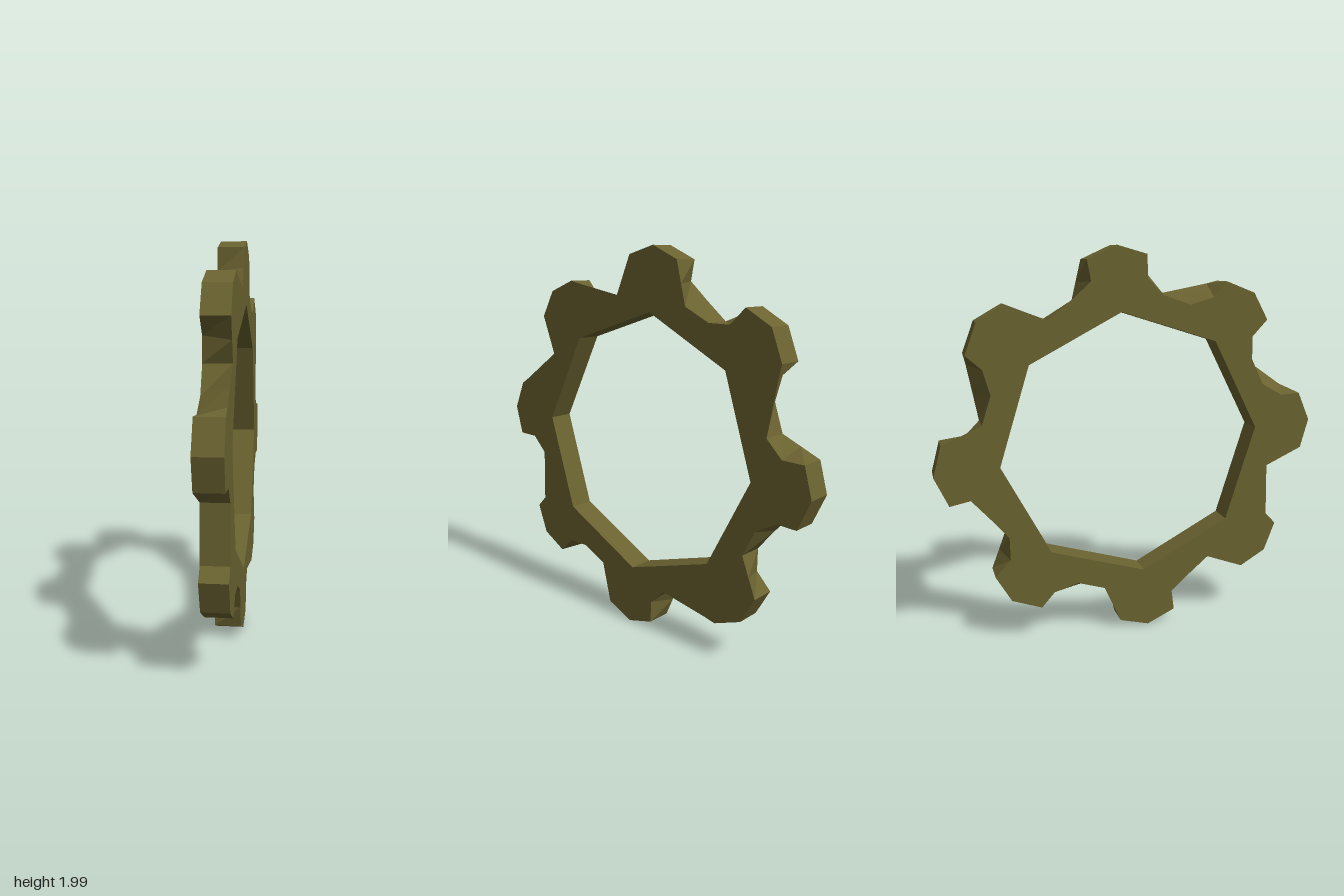
import * as THREE from 'three';

const HALF = 0.066; // half thickness along x
const SECTORS = 8;

// One sector in (z, y) about the hub: a tooth, then the gap after it.
const TOOTH = [[-0.232, 0.93], [-0.083, 0.997], [0.07, 0.955]];
const VALLEY = [0.158, 0.757];
// First flank of a gap: straight, or with a bite taken at the tooth root
const FLANK = { straight: [0.114, 0.856], bitten: [0.073, 0.84] };
// Second flank: two points between the valley and the next tooth
const RISE = {
  straight: [[0.30, 0.783], [0.435, 0.808]],
  bitten: [[0.30, 0.71], [0.425, 0.745]],
  floor: [[0.30, 0.761], [0.435, 0.765]],
  deep: [[0.305, 0.707], [0.397, 0.763]],
  ramp: [[0.30, 0.744], [0.435, 0.735]],
};
// Gap types on the +x face and the -x face: [flank, rise]
const GAPS = [
  { pos: ['straight', 'straight'], neg: ['bitten', 'bitten'] },
  { pos: ['straight', 'straight'], neg: ['bitten', 'bitten'] },
  { pos: ['bitten', 'floor'], neg: ['straight', 'floor'] },
  { pos: ['bitten', 'deep'], neg: ['straight', 'ramp'] },
  { pos: ['bitten', 'straight'], neg: ['straight', 'bitten'] },
  { pos: ['straight', 'bitten'], neg: ['bitten', 'ramp'] },
  { pos: ['bitten', 'straight'], neg: ['straight', 'bitten'] },
  { pos: ['bitten', 'deep'], neg: ['straight', 'ramp'] },
];

// Drawing plane: u = -z, v = y, counter-clockwise seen from +x
function place([z, y], k) {
  return new THREE.Vector2(-z, y).rotateAround(new THREE.Vector2(), (k * Math.PI * 2) / SECTORS);
}

function outline(side) {
  return GAPS.flatMap((gap, k) => {
    const [flank, rise] = gap[side];
    return [...TOOTH, FLANK[flank], VALLEY, ...RISE[rise]].map((p) => place(p, k));
  });
}

// Side wall joining two matching loops
function wall(front, back) {
  const pos = [];
  front.forEach((p, i) => {
    const j = (i + 1) % front.length;
    const a = [p.x, p.y, HALF];
    const b = [back[i].x, back[i].y, -HALF];
    const c = [back[j].x, back[j].y, -HALF];
    const d = [front[j].x, front[j].y, HALF];
    pos.push(...a, ...b, ...c, ...a, ...c, ...d);
  });
  const g = new THREE.BufferGeometry();
  g.setAttribute('position', new THREE.Float32BufferAttribute(pos, 3));
  g.computeVertexNormals();
  return g;
}

// Flat face with the octagonal hole
function cap(loop, hole, x, flip) {
  const shape = new THREE.Shape(loop);
  shape.holes.push(new THREE.Path(hole));
  const g = new THREE.ShapeGeometry(shape);
  if (flip) g.setIndex(Array.from(g.index.array).reverse());
  g.translate(0, 0, x);
  g.computeVertexNormals();
  return g;
}

export function createModel() {
  const olive = new THREE.MeshStandardMaterial({ color: 0x6a6230 });
  olive.name = 'olive';

  const right = outline('pos');
  const left = outline('neg');
  const hole = GAPS.map((_, k) => place([-0.06, 0.68], k)).reverse();

  const ring = new THREE.Group();
  ring.name = 'toothedRing';
  const parts = {
    rightFace: cap(right, hole, HALF, false),
    leftFace: cap(left, hole, -HALF, true),
    toothedRim: wall(right, left),
    octagonalBore: wall(hole, hole),
  };
  for (const [name, geometry] of Object.entries(parts)) {
    geometry.rotateY(Math.PI / 2); // stand the ring in the y-z plane
    geometry.translate(0, 1, 0);
    const mesh = new THREE.Mesh(geometry, olive);
    mesh.name = name;
    ring.add(mesh);
  }
  return ring;
}
